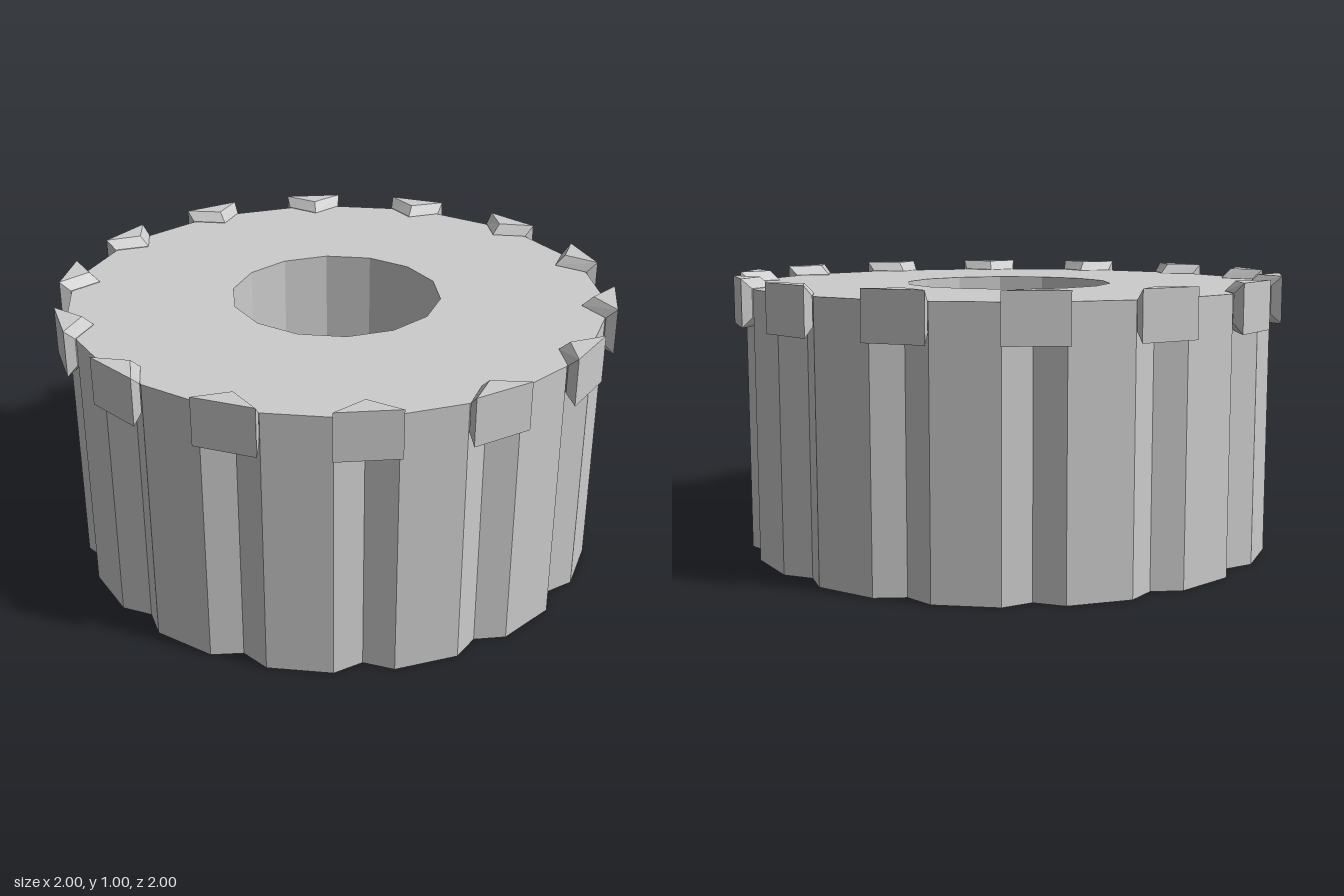
import * as THREE from 'three';

const TEETH = 14, STEP = (Math.PI * 2) / TEETH, BODY_H = 0.963;
const polar = (r, a) => new THREE.Vector2(r * Math.cos(a), r * Math.sin(a));

// Notched ring with a 14-sided bore
function bodyGeometry() {
  const outline = [], bore = [], half = THREE.MathUtils.degToRad(6.1);
  for (let i = 0; i < TEETH; i++) {
    const a = i * STEP;
    outline.push(polar(0.964, a - half), polar(0.912, a), polar(0.964, a + half));
    bore.push(polar(0.379, a));
  }
  const shape = new THREE.Shape(outline);
  shape.holes.push(new THREE.Path(bore));
  const g = new THREE.ExtrudeGeometry(shape, { depth: BODY_H, bevelEnabled: false });
  return g.rotateX(-Math.PI / 2);
}

// Wedge insert pointing inwards, bevelled above and below
function toothGeometry() {
  const rim = y => [[1, y, 0.109], [1, y, -0.109], [0.92, y, 0]];
  const waist = y => [[0.962, y, 0.102], [0.962, y, -0.102], [0.882, y, 0]];
  const rows = [rim(0.83), waist(0.865), waist(BODY_H + 0.002), rim(1)];
  const pos = [];
  const tri = (a, b, c) => pos.push(...a, ...b, ...c);
  const quad = (a, b, c, d) => { tri(a, b, c); tri(a, c, d); };
  const [r0, r1, r2, r3] = rows;
  // inner walls and bevels
  for (let r = 0; r < 3; r++) {
    for (const [i, j] of [[1, 2], [2, 0]]) {
      quad(rows[r][i], rows[r][j], rows[r + 1][j], rows[r + 1][i]);
    }
  }
  // outer face, ends and caps
  quad(r0[0], r0[1], r3[1], r3[0]);
  quad(r0[0], r3[0], r2[0], r1[0]);
  quad(r1[1], r2[1], r3[1], r0[1]);
  tri(r3[0], r3[1], r3[2]);
  tri(r0[2], r0[1], r0[0]);
  const g = new THREE.BufferGeometry();
  g.setAttribute('position', new THREE.Float32BufferAttribute(pos, 3));
  g.computeVertexNormals();
  return g;
}

export function createModel() {
  const model = new THREE.Group();
  model.name = 'toothedRing';
  const material = new THREE.MeshStandardMaterial({ color: 0xcccccc, flatShading: true });

  const body = new THREE.Mesh(bodyGeometry(), material);
  body.name = 'body';
  model.add(body);

  const teeth = new THREE.Group();
  teeth.name = 'teeth';
  const geometry = toothGeometry();
  for (let i = 0; i < TEETH; i++) {
    const tooth = new THREE.Mesh(geometry, material);
    tooth.name = `tooth${i + 1}`;
    tooth.rotation.y = i * STEP;
    teeth.add(tooth);
  }
  model.add(teeth);
  return model;
}
